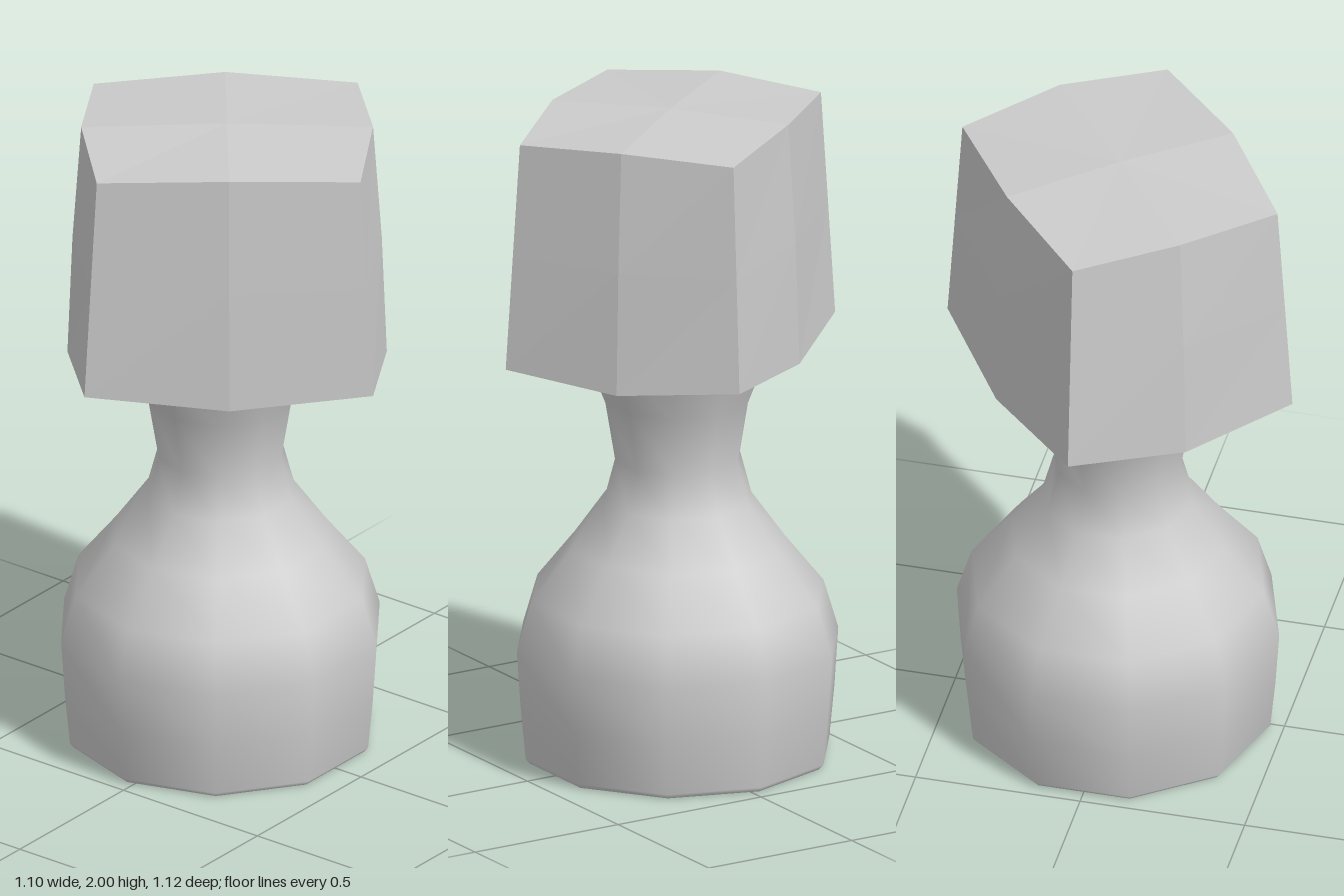
import * as THREE from 'three';

const GREY = () => new THREE.MeshStandardMaterial({ color: 0xcccccc, side: THREE.DoubleSide });

// Turned body: ten-sided smooth lathe with flat end caps
function createBase() {
  const base = new THREE.Group();
  base.name = 'base';
  const profile = [
    [0.45, 0], [0.463, 0.015], [0.478, 0.17], [0.49, 0.35], [0.445, 0.5],
    [0.325, 0.65], [0.225, 0.79], [0.19, 0.92], [0.22, 1.1], [0.295, 1.29],
  ].map(([r, y]) => new THREE.Vector2(r, y));
  const body = new THREE.Mesh(new THREE.LatheGeometry(profile, 10, Math.PI / 2), GREY());
  body.name = 'body';
  base.add(body);

  for (const [name, point, turn] of [['foot', profile[0], 1], ['neckTop', profile[9], -1]]) {
    const cap = new THREE.Mesh(new THREE.CircleGeometry(point.x, 10), GREY());
    cap.name = name;
    cap.rotation.x = turn * Math.PI / 2;
    cap.position.y = point.y;
    base.add(cap);
  }
  base.position.z = -0.025;
  return base;
}

// Half of the shade's outline (corner, side middle, corner, side middle); the rest is its half turn
const HALF = [[0.55, 0.107], [0.315, -0.252], [0.022, -0.562], [-0.29, -0.372]];
const OUTLINE = [...HALF, ...HALF.map(([x, z]) => [-x, -z])];

// Ring of the shade: side middles get their own height and bulge
function ring(scale, cornerY, middleY, bulge = 1) {
  return OUTLINE.map(([x, z], i) => {
    const s = i % 2 ? scale * bulge : scale;
    return new THREE.Vector3(x * s, i % 2 ? middleY : cornerY, z * s);
  });
}

// Thin boxy shade with slightly swollen sides, open below
function createShade() {
  const positions = [];
  const tri = (...points) => points.forEach((p) => positions.push(p.x, p.y, p.z));
  const rings = [
    ring(0.76, 1.945, 1.965),
    ring(0.89, 1.945, 1.965),
    ring(0.965, 1.28, 1.25),
    ring(1, 1.28, 1.25),
    ring(0.957, 1.625, 1.625, 1.012),
    ring(0.914, 1.968, 1.988),
  ];
  // Inner ceiling, inner wall, rim and outer wall in one sweep
  for (let r = 1; r < rings.length - 1; r++) {
    const a = rings[r], b = rings[r + 1];
    for (let i = 0; i < 8; i++) {
      const j = (i + 1) % 8;
      tri(a[i], a[j], b[j]);
      tri(a[i], b[j], b[i]);
    }
  }
  // Shallow peaked top and its underside
  const peak = new THREE.Vector3(0, 2, 0);
  const under = new THREE.Vector3(0, 1.977, 0);
  const top = rings[5], ceiling = rings[1];
  for (let i = 0; i < 8; i++) {
    const j = (i + 1) % 8;
    tri(peak, top[i], top[j]);
    tri(under, ceiling[j], ceiling[i]);
  }
  const geometry = new THREE.BufferGeometry();
  geometry.setAttribute('position', new THREE.Float32BufferAttribute(positions, 3));
  geometry.computeVertexNormals();
  const material = GREY();
  material.flatShading = true;
  const shade = new THREE.Mesh(geometry, material);
  shade.name = 'shade';
  return shade;
}

export function createModel() {
  const lamp = new THREE.Group();
  lamp.name = 'tableLamp';
  lamp.add(createBase(), createShade());
  return lamp;
}
